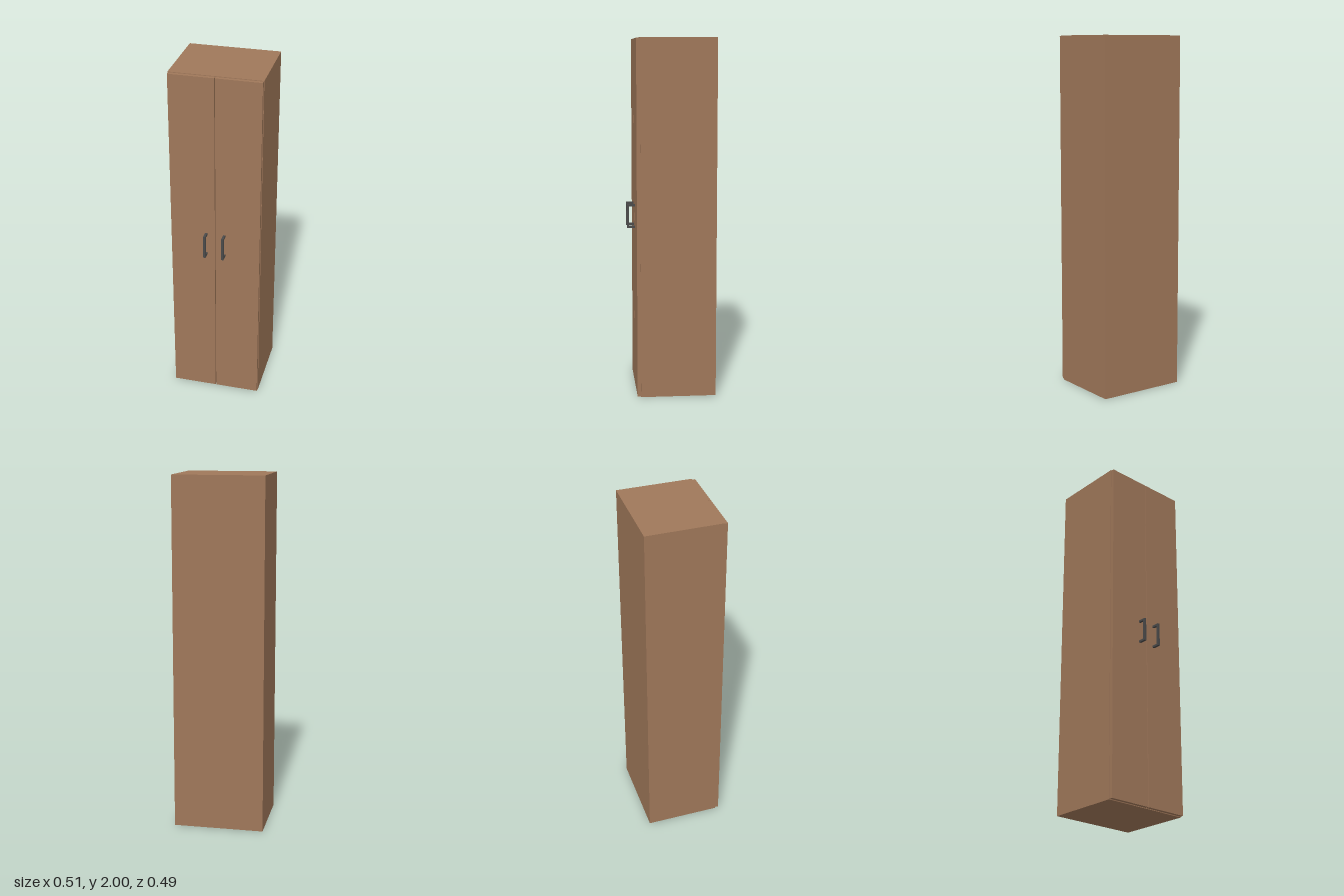
import * as THREE from 'three';

export function createModel() {
  const wood = new THREE.MeshStandardMaterial({ color: 0xa0785a });
  wood.name = 'brown wood';
  const metal = new THREE.MeshStandardMaterial({ color: 0x4a4a4a });
  metal.name = 'dark metal';

  const model = new THREE.Group();
  model.name = 'wardrobe';

  // Box given by its minimum and maximum corners
  function box(name, material, min, max, parent = model) {
    const size = max.map((v, i) => v - min[i]);
    const mesh = new THREE.Mesh(new THREE.BoxGeometry(...size), material);
    mesh.position.set(...max.map((v, i) => (v + min[i]) / 2));
    mesh.name = name;
    parent.add(mesh);
    return mesh;
  }

  const W = 0.256, H = 2, T = 0.02; // half width, height, panel thickness
  const back = -0.244, front = 0.178, doorFront = 0.198;

  // Carcass panels
  const inner = W - T;
  box('backPanel', wood, [-inner, T, back], [inner, H - T, back + T]);
  box('bottomPanel', wood, [-inner, 0, back], [inner, T, front]);
  box('topPanel', wood, [-inner, H - T, back], [inner, H, front]);

  // Shelves behind the doors
  for (const y of [0.51, 1, 1.49]) {
    box('shelf', wood, [-inner, y - T / 2, back + T], [inner, y + T / 2, front - 0.01]);
  }

  // Side panels, doors and handles, mirrored left and right
  for (const [side, s] of [['left', 1], ['right', -1]]) {
    const span = (name, mat, x0, x1, y0, y1, z0, z1, parent) =>
      box(name, mat, [Math.min(s * x0, s * x1), y0, z0], [Math.max(s * x0, s * x1), y1, z1], parent);

    span(side + 'SidePanel', wood, inner, W, 0, H, back, front);
    span(side + 'Door', wood, 0.002, 0.253, 0.004, H - 0.004, front, doorFront);

    // Bar handle on two posts
    const handle = new THREE.Group();
    handle.name = side + 'Handle';
    model.add(handle);
    span('grip', metal, 0.045, 0.058, 0.934, 1.07, 0.231, 0.243, handle);
    for (const y of [0.94, 1.064]) {
      span('post', metal, 0.045, 0.058, y - 0.006, y + 0.006, doorFront, 0.231, handle);
    }
  }
  return model;
}
